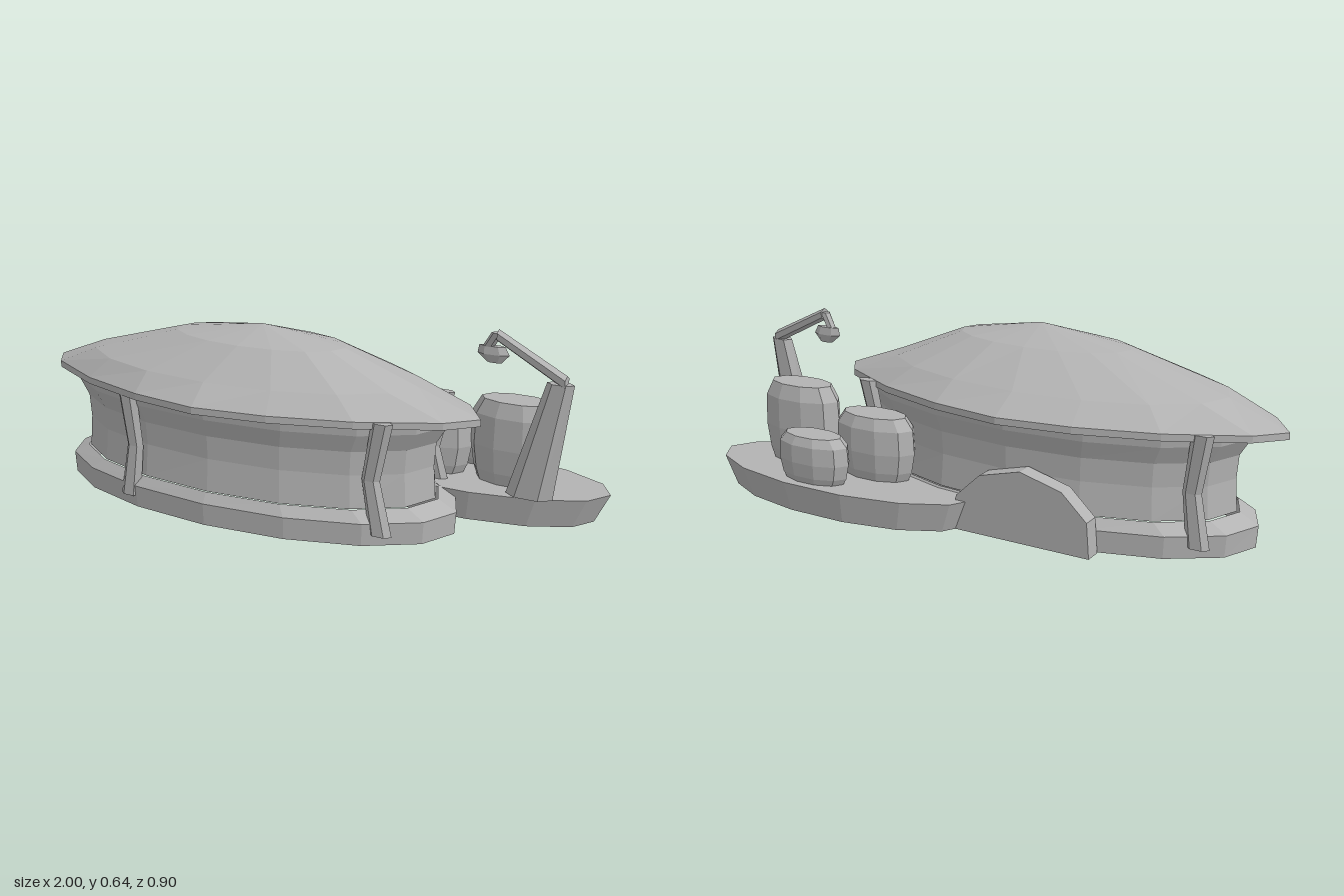
import * as THREE from 'three';

const stone = new THREE.MeshStandardMaterial({ color: 0xb3b3b3, side: THREE.DoubleSide });
stone.name = 'plain grey';

const X = new THREE.Vector3(1, 0, 0), Y = new THREE.Vector3(0, 1, 0), Z = new THREE.Vector3(0, 0, 1);

// One elliptical cross-section of n corners, spanned by u and v
function ring(n, cx, cy, cz, ru, rv, u = X, v = Z, turn = 0) {
  return Array.from({ length: n }, (_, i) => {
    const a = (i / n) * Math.PI * 2 + turn;
    return new THREE.Vector3(cx, cy, cz)
      .addScaledVector(u, ru * Math.cos(a))
      .addScaledVector(v, rv * Math.sin(a));
  });
}

const middle = (r) => r.reduce((s, p) => s.add(p), new THREE.Vector3()).divideScalar(r.length);

// Faceted skin through a list of rings, with optional end caps (or an apex point)
function loft(name, rings, bottom = true, top = true) {
  const pos = [];
  const tri = (...ps) => ps.forEach((p) => pos.push(p.x, p.y, p.z));
  const n = rings[0].length;
  const first = rings[0], last = rings[rings.length - 1];
  const apex = top && (top.isVector3 ? top : middle(last));
  const floor = middle(first);
  for (let i = 0; i < n; i++) {
    const j = (i + 1) % n;
    for (let k = 0; k < rings.length - 1; k++) {
      const a = rings[k], b = rings[k + 1];
      tri(a[i], b[i], a[j]);
      tri(b[i], b[j], a[j]);
    }
    if (bottom) tri(floor, first[i], first[j]);
    if (top) tri(apex, last[j], last[i]);
  }
  const g = new THREE.BufferGeometry();
  g.setAttribute('position', new THREE.Float32BufferAttribute(pos, 3));
  g.computeVertexNormals();
  const mesh = new THREE.Mesh(g, stone);
  mesh.name = name;
  return mesh;
}

// Pointed-oval eave outline: one quarter, mirrored all round
function eave(scale, y, wave) {
  const q = [[0.83, 0], [0.75, 0.11], [0.51, 0.25], [0.25, 0.34], [0, 0.38]];
  return Array.from({ length: 16 }, (_, i) => {
    const quarter = Math.floor(i / 4), k = i % 4;
    const [x, z] = q[quarter % 2 ? 4 - k : k];
    const sx = quarter === 1 || quarter === 2 ? -1 : 1;
    const sz = quarter >= 2 ? -1 : 1;
    const lift = wave * Math.abs(Math.sin((i / 8) * Math.PI));
    return new THREE.Vector3(-0.17 + sx * x * scale, y + lift, 0.07 + sz * z * scale);
  });
}

function createHut() {
  const hut = new THREE.Group();
  hut.name = 'hut';
  const oval = (y, rx, rz) => ring(16, -0.165, y, 0.07, rx, rz);

  // Plinth and waisted wall, open below
  hut.add(loft('plinth', [oval(0, 0.75, 0.333), oval(0.075, 0.755, 0.337), oval(0.11, 0.69, 0.315)], false, false));
  hut.add(loft('wall', [
    oval(0.11, 0.68, 0.31), oval(0.22, 0.672, 0.3), oval(0.3, 0.678, 0.304),
    oval(0.36, 0.715, 0.322), oval(0.395, 0.72, 0.326),
  ], false, false));

  // Shallow roof with a wavy eave and an off-centre peak
  hut.add(loft('roof', [
    eave(0.86, 0.39, 0.01), eave(1, 0.377, 0.018), eave(1, 0.4, 0.018),
    ring(16, -0.175, 0.48, 0.08, 0.62, 0.29),
    ring(16, -0.12, 0.58, 0.105, 0.32, 0.145),
  ], false, new THREE.Vector3(-0.1, 0.63, 0.12)));

  // Bent posts around the wall: x, z, inward bend of the knee
  const posts = [
    ['frontRightPost', -0.485, 0.365, 0.02], ['frontLeftPost', 0.42, 0.28, -0.04],
    ['backRightPost', -0.79, -0.115, 0.03], ['backLeftPost', 0.45, -0.135, -0.04],
  ];
  for (const [name, x, z, bend] of posts) {
    const dz = z > 0 ? -0.008 : 0.008;
    hut.add(loft(name, [
      ring(6, x, 0.038, z, 0.04, 0.021),
      ring(6, x + bend, 0.215, z + dz, 0.032, 0.018),
      ring(6, x, 0.41, z, 0.037, 0.02),
    ]));
  }

  // Arched doorway slab at the back
  const arch = new THREE.Shape();
  [[-0.25, 0], [0.25, 0], [0.24, 0.12], [0.15, 0.205], [0, 0.245], [-0.15, 0.205], [-0.24, 0.12]]
    .forEach(([x, y], i) => (i ? arch.lineTo(x, y) : arch.moveTo(x, y)));
  const door = new THREE.Mesh(new THREE.ExtrudeGeometry(arch, { depth: 0.06, bevelEnabled: false }), stone);
  door.name = 'doorArch';
  door.position.set(-0.25, 0, -0.29);
  hut.add(door);
  return hut;
}

function createTerrace() {
  const terrace = new THREE.Group();
  terrace.name = 'terrace';

  // Flared platform, open below
  terrace.add(loft('platform', [
    ring(14, 0.46, 0, -0.25, 0.49, 0.19), ring(14, 0.465, 0.103, -0.25, 0.535, 0.207),
  ], false, true));

  // Round-bellied jars: x, z, radii, height
  const jars = [
    ['tallJar', 0.675, -0.22, 0.16, 0.08, 0.29],
    ['mediumJar', 0.36, -0.22, 0.16, 0.08, 0.225],
    ['smallJar', 0.515, -0.365, 0.145, 0.07, 0.165],
  ];
  const belly = [[0, 0.82], [0.15, 0.92], [0.45, 1], [0.82, 0.97], [1, 0.78]];
  for (const [name, x, z, rx, rz, h] of jars) {
    terrace.add(loft(name, belly.map(([t, s]) => ring(10, x, 0.1 + t * h, z, rx * s, rz * s))));
  }

  // Lamp: tapered leaning post, sloping arm, hook and shade
  const lamp = new THREE.Group();
  lamp.name = 'lamp';
  lamp.add(loft('lampPost', [
    ring(6, 0.77, 0.105, -0.103, 0.08, 0.036), ring(6, 0.855, 0.5, -0.103, 0.045, 0.025),
  ]));
  lamp.add(loft('lampArm', [
    ring(6, 0.875, 0.505, -0.1, 0.024, 0.024, Y, Z), ring(6, 0.63, 0.622, -0.135, 0.021, 0.021, Y, Z),
  ]));
  lamp.add(loft('lampHook', [
    ring(6, 0.59, 0.575, -0.147, 0.02, 0.012), ring(6, 0.625, 0.63, -0.137, 0.02, 0.014),
  ]));
  lamp.add(loft('lampShade', [
    ring(6, 0.615, 0.527, -0.148, 0.025, 0.009),
    ring(6, 0.61, 0.555, -0.148, 0.055, 0.018),
    ring(6, 0.605, 0.582, -0.148, 0.045, 0.014),
  ]));
  terrace.add(lamp);
  return terrace;
}

export function createModel() {
  const model = new THREE.Group();
  model.name = 'hutWithTerrace';
  model.add(createHut(), createTerrace());
  return model;
}
